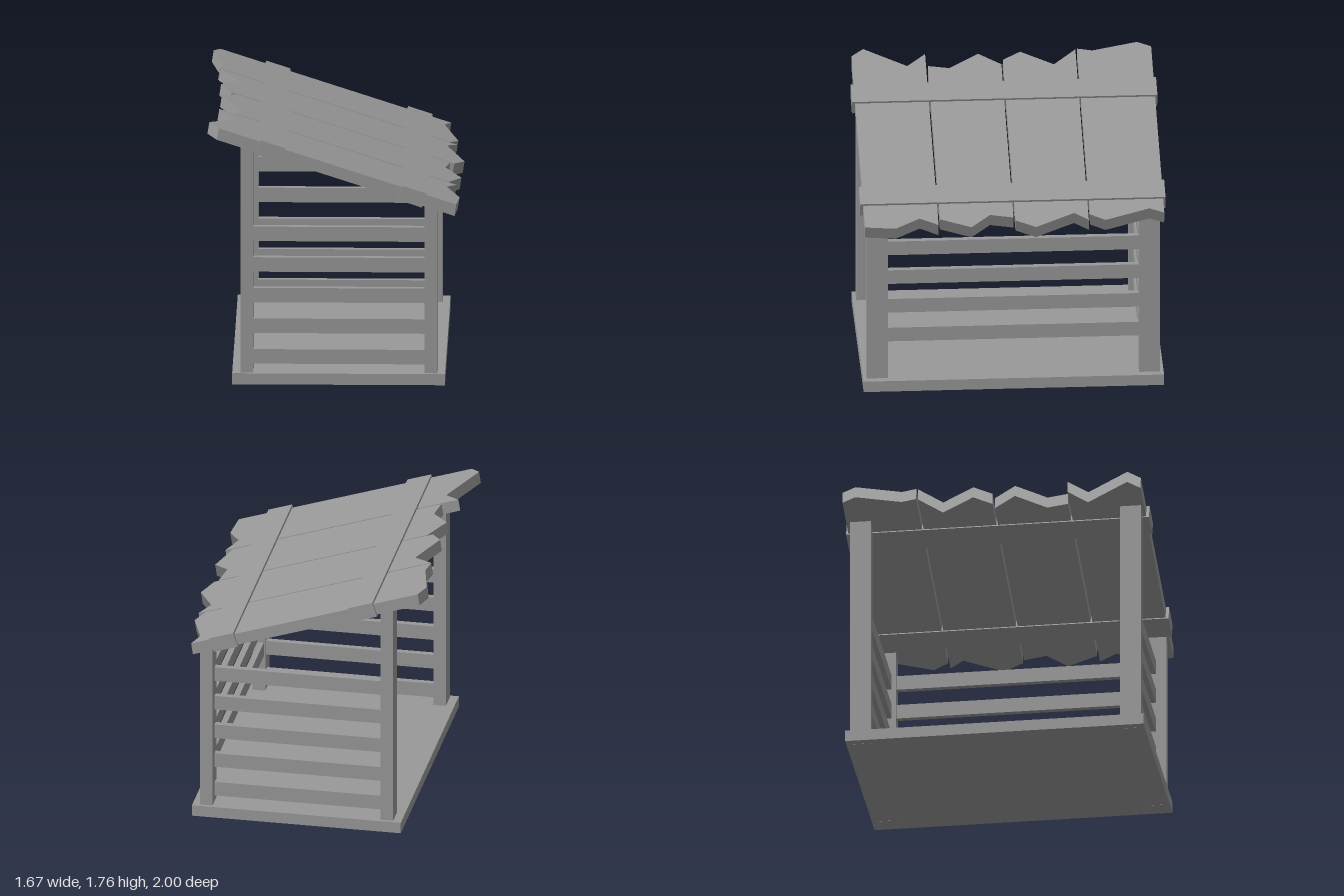
import * as THREE from 'three';

const material = new THREE.MeshStandardMaterial({ color: 0x999999 });

const SLOPE = THREE.MathUtils.degToRad(18.1);
const ROOF_Y = 1.446; // middle of the roof planks at x = 0
const PLANK = 0.078; // plank thickness
const END_TILT = 0.006; // sideways lean of a plank end over half its thickness
const POST_X = [-0.568, 0.636];
const POST_Z = 0.892;
const POST_W = 0.084;
const POST_D = 0.138;

function box(parent, name, size, position) {
  const mesh = new THREE.Mesh(new THREE.BoxGeometry(...size), material);
  mesh.name = name;
  mesh.position.set(...position);
  parent.add(mesh);
}

// Splintered plank ends as [x, z] seen from above, high end then low end
const planks = [
  {
    high: [[-0.79, -0.985], [-0.833, -0.894], [-0.765, -0.597], [-0.785, -0.499]],
    low: [[0.732, -0.985], [0.69, -0.89], [0.785, -0.597], [0.732, -0.499]],
  },
  {
    high: [[-0.78, -0.488], [-0.648, -0.34], [-0.77, -0.125], [-0.7, -0.008]],
    low: [[0.78, -0.488], [0.715, -0.395], [0.834, -0.14], [0.77, -0.008]],
  },
  {
    high: [[-0.66, 0.003], [-0.76, 0.15], [-0.637, 0.347], [-0.66, 0.485]],
    low: [[0.743, 0.003], [0.715, 0.156], [0.822, 0.283], [0.743, 0.485]],
  },
  {
    high: [[-0.77, 0.497], [-0.664, 0.62], [-0.828, 0.9], [-0.765, 0.98]],
    low: [[0.795, 0.497], [0.732, 0.617], [0.819, 0.78], [0.801, 0.98]],
  },
];

// A board in three strips whose end corners are moved to the splintered outline
function plankGeometry({ high, low }) {
  const geometry = new THREE.BoxGeometry(1, PLANK, 1, 1, 1, 3);
  const position = geometry.attributes.position;
  // Keeps the end cuts close to vertical on the tilted roof
  const lean = ((2 * END_TILT) / PLANK - Math.sin(SLOPE)) / Math.cos(SLOPE);
  for (let i = 0; i < position.count; i++) {
    const end = position.getX(i) < 0 ? high : low;
    const [x, z] = end[Math.round((position.getZ(i) + 0.5) * 3)];
    const along = (x - Math.sign(x) * END_TILT) / Math.cos(SLOPE);
    position.setX(i, along + lean * position.getY(i));
    position.setZ(i, z);
  }
  return geometry;
}

export function createModel() {
  const model = new THREE.Group();
  model.name = 'shelter';

  // Floor, with the post feet just showing underneath
  box(model, 'floor', [1.392, 0.075, 1.968], [0.031, 0.0385, 0]);

  // Corner posts, ending inside the sloping roof
  for (const x of POST_X) {
    const height = ROOF_Y - x * Math.tan(SLOPE) - 0.01;
    for (const z of [POST_Z, -POST_Z]) {
      box(model, 'post', [POST_W, height, POST_D], [x, height / 2, z]);
    }
  }

  // Slats: five at the front and back, four on the low side, high side open
  const innerX = POST_X[1] - POST_X[0] - POST_W;
  const innerZ = 2 * POST_Z - POST_D;
  const midX = (POST_X[0] + POST_X[1]) / 2;
  for (let i = 0; i < 5; i++) {
    const y = 0.166 + i * 0.2075;
    box(model, 'frontSlat', [innerX, 0.098, 0.04], [midX, y, 0.872]);
    box(model, 'backSlat', [innerX, 0.098, 0.04], [midX, y, -0.872]);
    if (i > 0) box(model, 'sideSlat', [0.04, 0.098, innerZ], [0.624, y, 0]);
  }

  // Roof: four broken planks held by two battens
  const roof = new THREE.Group();
  roof.name = 'roof';
  roof.position.y = ROOF_Y;
  roof.rotation.z = -SLOPE;
  for (const plank of planks) {
    const mesh = new THREE.Mesh(plankGeometry(plank), material);
    mesh.name = 'roofPlank';
    roof.add(mesh);
  }
  for (const u of [-0.437, 0.539]) {
    box(roof, 'roofBatten', [0.168, 0.1, 2], [u, 0.003, 0]);
  }
  model.add(roof);

  return model;
}
